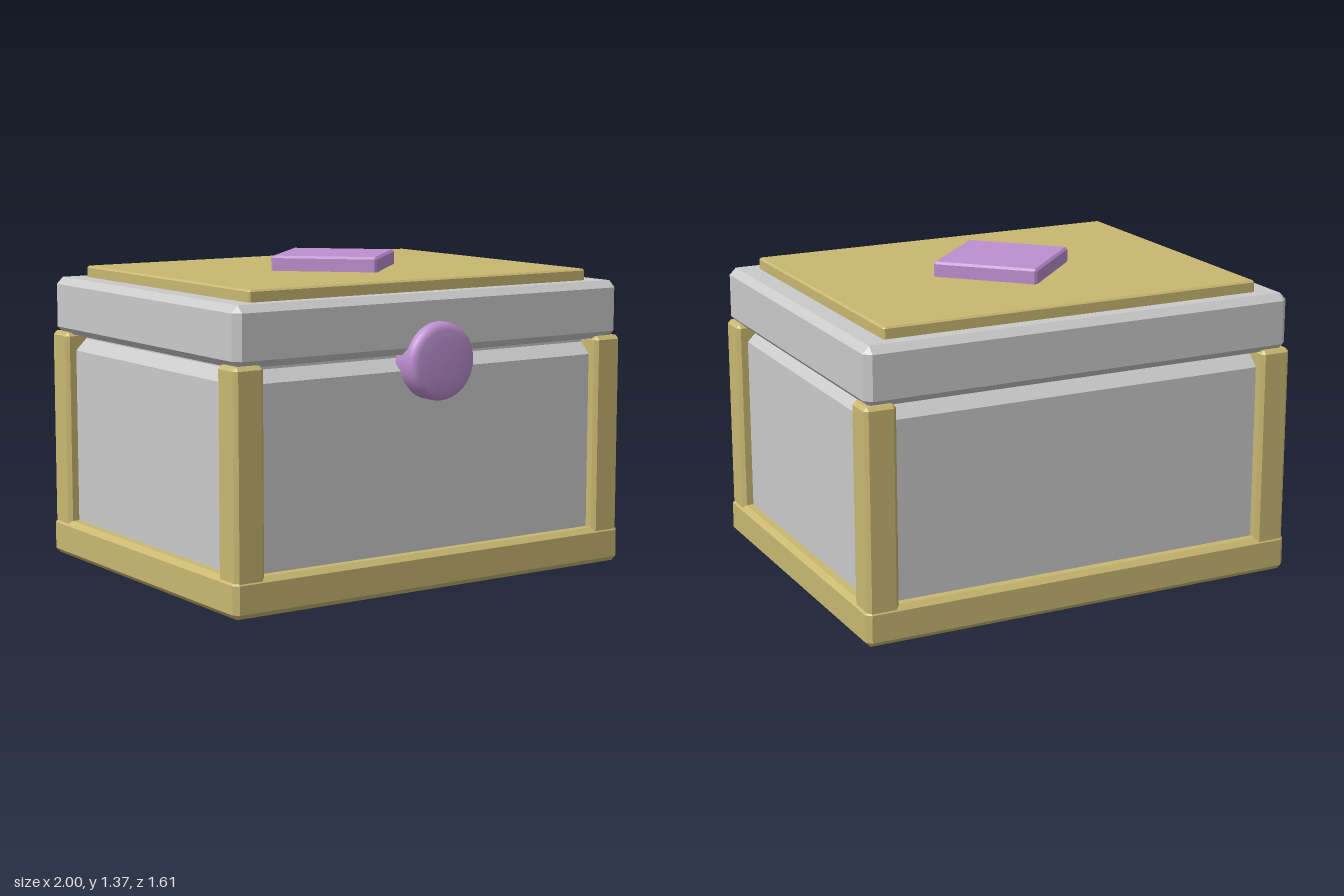
import * as THREE from 'three';
import { ConvexGeometry } from 'three/addons/geometries/ConvexGeometry.js';

const mat = (name, color) => Object.assign(new THREE.MeshStandardMaterial({ color }), { name });

// Box with flat chamfers on every edge, standing on its base
function chamferBox(w, h, d, b) {
  const pts = [];
  for (const sx of [-1, 1]) for (const sy of [-1, 1]) for (const sz of [-1, 1]) {
    for (const axis of [0, 1, 2]) {
      const inset = [0, 1, 2].map((i) => (i === axis ? 0 : b));
      pts.push(new THREE.Vector3(
        sx * (w / 2 - inset[0]),
        h / 2 + sy * (h / 2 - inset[1]),
        sz * (d / 2 - inset[2])));
    }
  }
  return new ConvexGeometry(pts);
}

export function createModel() {
  const gold = mat('gold trim', 0xc9b871);
  const grey = mat('pale grey', 0xcacaca);
  const violet = mat('violet gem', 0xbd8fd0);

  const model = new THREE.Group();
  model.name = 'chest';
  const zc = -0.02; // the box sits slightly back to leave room for the clasp

  const add = (name, geometry, material, x, y, z) => {
    const mesh = new THREE.Mesh(geometry, material);
    mesh.name = name;
    mesh.position.set(x, y, z);
    model.add(mesh);
    return mesh;
  };

  // Plinth and main body
  add('plinth', chamferBox(2, 0.163, 1.57, 0.022), gold, 0, 0, zc);
  add('body', chamferBox(1.89, 0.88, 1.46, 0.05), grey, 0, 0.1, zc);
  add('neck', new THREE.BoxGeometry(1.79, 0.08, 1.36), grey, 0, 0.99, zc);

  // Corner posts
  const post = chamferBox(0.14, 0.96, 0.14, 0.016);
  for (const sx of [-1, 1]) for (const sz of [-1, 1]) {
    add('cornerPost', post, gold, sx * 0.922, 0.05, zc + sz * 0.71);
  }

  // Lid with its raised panel and diamond inlay
  add('lid', chamferBox(1.965, 0.25, 1.545, 0.03), grey, 0, 1.0, zc);
  add('lidPanel', chamferBox(1.73, 0.09, 1.365, 0.008), gold, 0, 1.21, zc);
  add('diamondInlay', chamferBox(0.465, 0.09, 0.465, 0.01), violet, 0, 1.275, zc)
    .rotation.y = Math.PI / 4;

  // Round clasp with a softened rim
  const profile = [[0.165, 0], [0.165, 0.085], [0.161, 0.1], [0.15, 0.112],
    [0.132, 0.12], [0.07, 0.124], [0, 0.125]].map(([r, y]) => new THREE.Vector2(r, y));
  add('clasp', new THREE.LatheGeometry(profile, 40), violet, 0, 0.967, 0.68)
    .rotation.x = Math.PI / 2;

  return model;
}
